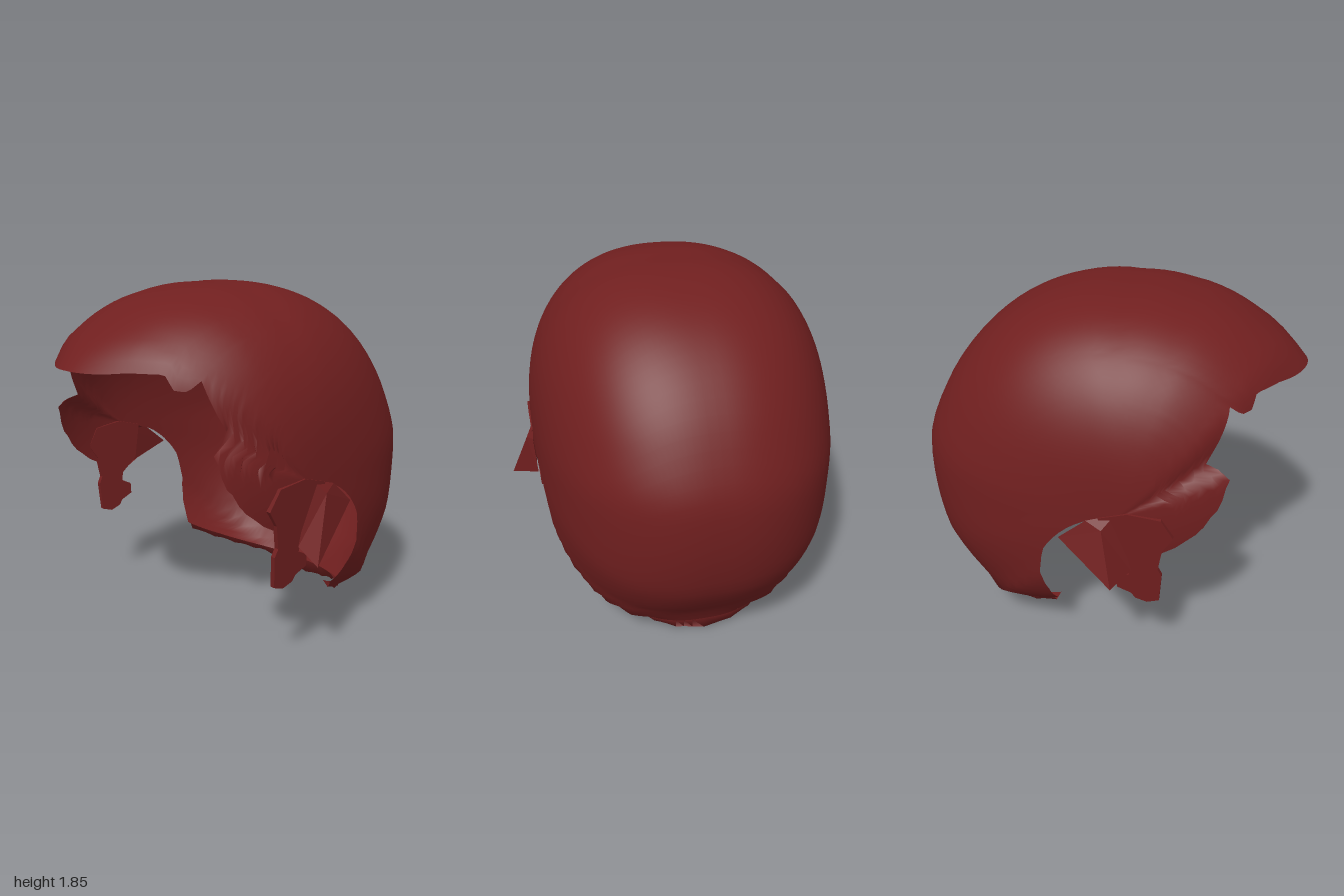
import * as THREE from 'three';

const hair = new THREE.MeshStandardMaterial({ color: 0x701f1f, side: THREE.DoubleSide });
hair.name = 'dark red hair';

const PY = 0.95, PZ = 0.15, HALF_WIDTH = 0.795;

// Crown outline around the ear axis: [angle in degrees from the front, radius]
const OUTLINE = [[-90, 0.85], [0, 0.92], [18, 0.97], [32, 1.0], [40, 0.98], [50, 0.95], [74, 0.905], [93, 0.9],
  [112, 0.947], [132, 1.006], [150.5, 1.057], [163.5, 1.095], [175, 1.144], [185, 1.154], [195, 1.169],
  [203, 1.183], [213, 1.17], [221.5, 1.16], [227, 1.2], [235, 1.1], [243, 1.0]];
// Squareness of the cross-section: [angle, superellipse exponent]
const SQUARENESS = [[0, 2.3], [24, 2.2], [32, 1.7], [37, 1.85], [45, 2.15], [70, 2.4], [100, 2.5], [150, 2.4],
  [190, 2.4], [222, 2.6]];
// Hairlines: [relative distance from the ear axis, angle at which the hair ends]
const FRONT_EDGE = [[0, -75], [0.25, -60], [0.3, -36], [0.34, -20], [0.39, -9], [0.42, 1], [0.465, 6.5], [0.5, 17],
  [0.54, 22], [0.565, 30], [0.6, 36], [0.66, 42], [0.72, 47], [0.75, 41], [0.8, 39], [0.84, 42], [0.93, 37.5], [1, 32]];
const BACK_EDGE = [[0, 190], [0.18, 195], [0.26, 202], [0.39, 213], [0.51, 229], [0.61, 236], [0.76, 243],
  [0.86, 235.5], [1, 227]];

function lerpTable(table, v) {
  if (v <= table[0][0]) return table[0][1];
  for (let i = 1; i < table.length; i++) {
    const [a, fa] = table[i - 1], [b, fb] = table[i];
    if (v <= b) return fa + (fb - fa) * (v - a) / (b - a);
  }
  return table[table.length - 1][1];
}

// Grid surface from a function (column, row) -> [x, y, z]
function gridSurface(cols, rows, fn) {
  const pos = [], index = [];
  for (let i = 0; i <= cols; i++) for (let j = 0; j <= rows; j++) pos.push(...fn(i, j));
  for (let i = 0; i < cols; i++) for (let j = 0; j < rows; j++) {
    const a = i * (rows + 1) + j, b = a + rows + 1;
    index.push(a, b, a + 1, b, b + 1, a + 1);
  }
  const g = new THREE.BufferGeometry();
  g.setAttribute('position', new THREE.Float32BufferAttribute(pos, 3));
  g.setIndex(index);
  g.computeVertexNormals();
  return g;
}

// Point on the cap: s runs from -1 (right ear) to 1 (left ear), t from fringe to nape
function capPoint(s, t) {
  const w = Math.pow(Math.sin(Math.abs(s) * Math.PI / 2), 0.8);
  const reach = n => Math.pow(Math.max(1 - Math.pow(w, n), 0), 1 / n);
  const front = lerpTable(FRONT_EDGE, reach(2.1)), back = lerpTable(BACK_EDGE, reach(2.6));
  const deg = front + (back - front) * t;
  const r = reach(lerpTable(SQUARENESS, deg)) * lerpTable(OUTLINE, deg), a = deg * Math.PI / 180;
  return [Math.sign(s) * HALF_WIDTH * w, PY + r * Math.sin(a), PZ + r * Math.cos(a)];
}

function add(parent, name, geometry) {
  const mesh = new THREE.Mesh(geometry, hair);
  mesh.name = name;
  parent.add(mesh);
}

// Ragged rim folded inwards along the nape, lowest at the middle
function napeRim() {
  const n = 36, reach = 0.5;
  return gridSurface(n, 2, (i, j) => {
    const s = (i / n * 2 - 1) * reach;
    const [x, y, z] = capPoint(s, 1);
    if (j === 0) return [x, y, z];
    const drop = 0.014 + 0.008 * (i % 3 === 0) + 0.048 * Math.max(0, 1 - Math.abs(s) * 5);
    if (j === 1) return [x * 0.985, y - drop, z + 0.006];
    return [x * 0.96, y + 0.022, z + 0.03];
  });
}

// Lock in front of the ear, cut in side profile and leaned along the cheek
function sideburn() {
  const outline = [[0.42, 0.86], [0.37, 0.78], [0.35, 0.66], [0.37, 0.62], [0.36, 0.46], [0.3, 0.44], [0.24, 0.46],
    [0.22, 0.49], [0.15, 0.52], [0.15, 0.58], [0.21, 0.61], [0.2, 0.66], [0.1, 0.74], [0.06, 0.94], [0.2, 0.98], [0.36, 0.96]];
  const shape = new THREE.Shape(outline.map(([z, y]) => new THREE.Vector2(-z, y)));
  const g = new THREE.ExtrudeGeometry(shape, { depth: 0.025, bevelEnabled: false });
  g.rotateY(Math.PI / 2);
  const p = g.attributes.position;
  for (let i = 0; i < p.count; i++) p.setX(i, p.getX(i) + 0.742 + 0.07 * (p.getY(i) - 0.45));
  g.computeVertexNormals();
  return g;
}

// Pointed tuft flaring out over the ear
function earTuft(tip) {
  const top = [0.785, 0.96, 0.14], topBack = [0.8, 0.92, 0.0], back = [0.79, 0.8, -0.14];
  const mid = [0.83, 0.89, 0.08], low = [0.785, 0.64, 0.22], inner = [0.8, 0.72, 0.06];
  const faces = [[top, mid, topBack], [topBack, mid, back], [mid, tip, back], [top, low, mid],
    [mid, low, tip], [back, tip, inner], [inner, tip, low]];
  const g = new THREE.BufferGeometry();
  g.setAttribute('position', new THREE.Float32BufferAttribute(faces.flat(2), 3));
  g.computeVertexNormals();
  return g;
}

export function createModel() {
  const model = new THREE.Group();
  model.name = 'hair';

  const cols = 96, rows = 48;
  add(model, 'hairCap', gridSurface(cols, rows, (i, j) => capPoint(i / cols * 2 - 1, j / rows)));
  add(model, 'napeRim', napeRim());

  for (const [label, side, tip] of [['left', 1, [0.925, 0.58, 0.23]], ['right', -1, [0.925, 0.62, 0.14]]]) {
    const locks = new THREE.Group();
    locks.name = label + 'EarLocks';
    locks.scale.x = side;
    add(locks, label + 'Sideburn', sideburn());
    add(locks, label + 'EarTuft', earTuft(tip));
    model.add(locks);
  }
  return model;
}
